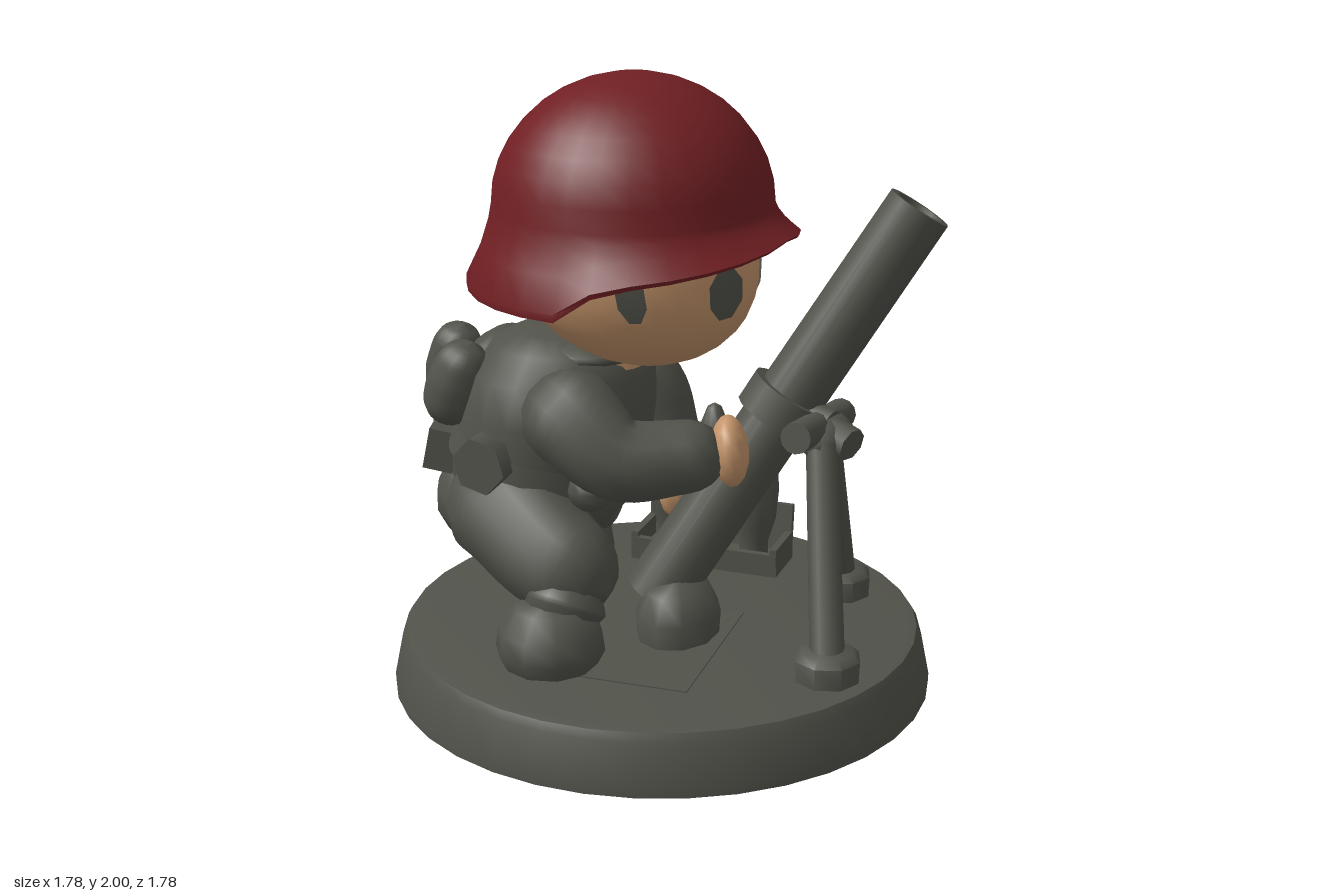
import * as THREE from 'three';
import { toCreasedNormals } from 'three/addons/utils/BufferGeometryUtils.js';

const V = (p) => new THREE.Vector3(p[0], p[1], p[2]);

export function createModel() {
  const model = new THREE.Group();
  model.name = 'mortarSoldier';

  const mat = (name, color) => {
    const m = new THREE.MeshStandardMaterial({ color, side: THREE.DoubleSide });
    m.name = name;
    return m;
  };
  const olive = mat('oliveGrey', 0x51524a);
  const red = mat('helmetRed', 0x701f23);
  const skin = mat('skin', 0xc4946a);

  const add = (name, geo, material = olive, pos = [0, 0, 0], rot = [0, 0, 0]) => {
    const mesh = new THREE.Mesh(geo, material);
    mesh.name = name;
    mesh.position.set(...pos);
    mesh.rotation.set(...rot);
    model.add(mesh);
    return mesh;
  };
  const lathe = (pts, seg, crease = 0.7) =>
    toCreasedNormals(new THREE.LatheGeometry(pts.map((p) => new THREE.Vector2(p[0], p[1])), seg), crease);
  const reshape = (geo, rule) => {
    const p = geo.attributes.position, v = new THREE.Vector3();
    for (let i = 0; i < p.count; i++) {
      rule(v.fromBufferAttribute(p, i));
      p.setXYZ(i, v.x, v.y, v.z);
    }
    return geo;
  };
  // turns a mesh so that its y axis points from a to b
  const aim = (mesh, a, b) => {
    mesh.quaternion.setFromUnitVectors(new THREE.Vector3(0, 1, 0), V(b).sub(V(a)).normalize());
    return mesh;
  };
  const rod = (name, a, b, r0, r1 = r0, seg = 12) => {
    const mid = V(a).add(V(b)).multiplyScalar(0.5);
    const geo = new THREE.CylinderGeometry(r1, r0, V(a).distanceTo(V(b)), seg);
    return aim(add(name, geo, olive, mid.toArray()), a, b);
  };
  const ball = (name, pos, size, material = olive, seg = 16, rot) =>
    add(name, new THREE.SphereGeometry(1, seg, Math.max(8, seg * 0.6 | 0)), material, pos, rot).scale.set(...size);
  // round-ended limb through points [x, y, z, radius]
  const limb = (name, pts, material = olive) => {
    const curve = new THREE.CatmullRomCurve3(pts.map(V));
    const n = 22, radial = 12, len = curve.getLength();
    const geo = new THREE.TubeGeometry(curve, n, 1, radial, false);
    const p = geo.attributes.position, v = new THREE.Vector3();
    for (let i = 0; i <= n; i++) {
      const u = i / n, c = curve.getPointAt(u);
      const t = curve.getUtoTmapping(u) * (pts.length - 1), k = Math.min(pts.length - 2, Math.floor(t));
      let r = THREE.MathUtils.lerp(pts[k][3], pts[k + 1][3], t - k);
      const s = Math.min(1, Math.min(u, 1 - u) * len / r);
      r *= Math.sqrt(Math.max(0.0001, 1 - (1 - s) ** 2));
      for (let j = 0; j <= radial; j++) {
        const id = i * (radial + 1) + j;
        v.fromBufferAttribute(p, id).sub(c).multiplyScalar(r).add(c);
        p.setXYZ(id, v.x, v.y, v.z);
      }
    }
    return add(name, toCreasedNormals(geo, 1.2), material);
  };

  // round base and the sheet lying on it
  add('base', lathe([[0, 0], [0.888, 0], [0.888, 0.02], [0.858, 0.165], [0.843, 0.192], [0.815, 0.198], [0, 0.198]], 36, 0.5));
  add('groundPlate', new THREE.BoxGeometry(0.6, 0.006, 0.62), olive, [-0.015, 0.199, 0.23], [0, 0.12, 0]);

  // helmet: dome with a flared rim that rises over the face
  const rimY = (x, z) => {
    const a = Math.abs(Math.atan2(z, x)) * 180 / Math.PI;
    if (a > 90) return 1.335;
    if (a > 74) return 1.335 + 0.1 * (90 - a) / 16;
    return 1.435 + 0.08 * (74 - a) / 74;
  };
  const dome = [[0.4, 1.62], [0.41, 1.52], [0.485, 1.345], [0.522, 1.335], [0.527, 1.36], [0.48, 1.46], [0.455, 1.54]];
  for (let i = 0; i <= 9; i++) {
    const a = i / 9 * Math.PI / 2;
    dome.push([Math.cos(a) * 0.446, 1.59 + Math.sin(a) * 0.41]);
  }
  const helmetGeo = new THREE.LatheGeometry(dome.map((p) => new THREE.Vector2(...p)), 28);
  reshape(helmetGeo, (v) => {
    if (v.y < 1.59) v.y = 1.59 - (1.59 - v.y) / 0.255 * (1.59 - rimY(v.x, v.z));
    v.z *= 1.025 + 0.02 * Math.max(0, 1.59 - v.y) / 0.255;
  });
  add('helmet', toCreasedNormals(helmetGeo, 0.8), red, [-0.1, 0, 0]);

  // head, chin pushed forward
  const headAt = (a, y, k = 1) => {
    const h = Math.sqrt(Math.max(0, 1 - Math.abs((y - 1.46) / 0.38) ** 2.3)) * k;
    return new THREE.Vector3(-0.105 + Math.cos(a) * 0.395 * h + (1.46 - y) * 0.18, y, Math.sin(a) * 0.405 * h);
  };
  const headGeo = reshape(new THREE.SphereGeometry(1, 32, 20), (v) =>
    v.copy(headAt(Math.atan2(v.z, v.x), 1.46 + v.y * 0.38)));
  add('head', toCreasedNormals(headGeo, 1), skin);
  add('neck', new THREE.CylinderGeometry(0.14, 0.16, 0.2, 16), skin, [-0.22, 1.16, 0]);

  // eyes and temple patches laid on the face, which looks slightly aside
  for (const [name, a, w, y] of [['rightEye', 0.33, 0.2, 1.365], ['leftEye', -0.65, 0.2, 1.365],
    ['rightTemplePatch', 1.15, 0.12, 1.385], ['leftTemplePatch', -1.48, 0.14, 1.385]]) {
    const geo = reshape(new THREE.CircleGeometry(1, 8, Math.PI / 8), (v) =>
      v.copy(headAt(a + v.x * w, y + v.y * 0.088, 1.02)));
    geo.computeVertexNormals();
    add(name, geo, olive);
  }

  // torso leaning forward
  const torsoGeo = reshape(new THREE.LatheGeometry([[0, 0.45], [0.26, 0.47], [0.36, 0.6], [0.37, 0.75], [0.365, 0.9],
    [0.34, 1.03], [0.27, 1.12], [0.18, 1.16], [0, 1.165]].map((p) => new THREE.Vector2(...p)), 20), (v) => {
    v.x = v.x * 0.86 - 0.39 + (v.y - 0.8) * 0.16;
  });
  add('torso', toCreasedNormals(torsoGeo, 1));
  ball('collar', [-0.27, 1.11, 0], [0.22, 0.06, 0.24]);
  ball('hips', [-0.54, 0.56, 0], [0.26, 0.2, 0.32]);

  // arms and hands
  limb('rightArm', [[-0.3, 1.0, 0.24, 0.15], [-0.16, 0.95, 0.31, 0.16], [0.0, 0.85, 0.32, 0.135], [0.16, 0.85, 0.23, 0.12], [0.29, 0.87, 0.15, 0.11]]);
  limb('leftArm', [[-0.3, 1.0, -0.2, 0.15], [-0.18, 0.88, -0.26, 0.14], [-0.12, 0.74, -0.26, 0.125], [-0.03, 0.63, -0.19, 0.11]]);
  ball('rightHand', [0.3, 0.865, 0.14], [0.06, 0.115, 0.1], skin, 14, [0, 0.4, 0.1]);
  ball('leftHand', [-0.01, 0.6, -0.17], [0.07, 0.12, 0.1], skin, 14, [0, 0, -0.1]);

  // legs: right knee forward, left leg folded under
  limb('rightThigh', [[-0.62, 0.6, 0.14, 0.2], [-0.42, 0.58, 0.25, 0.2], [-0.22, 0.49, 0.34, 0.18], [-0.01, 0.41, 0.38, 0.15]]);
  limb('rightShin', [[-0.12, 0.47, 0.37, 0.13], [-0.14, 0.38, 0.42, 0.14], [-0.15, 0.28, 0.47, 0.12]]);
  limb('leftThigh', [[-0.62, 0.58, -0.1, 0.2], [-0.5, 0.55, -0.24, 0.19], [-0.38, 0.48, -0.32, 0.16]]);
  limb('leftShin', [[-0.42, 0.55, -0.32, 0.15], [-0.47, 0.42, -0.33, 0.15], [-0.52, 0.28, -0.31, 0.12]]);
  const bootProfile = [[0, 0.2], [0.15, 0.2], [0.175, 0.25], [0.165, 0.32], [0.11, 0.39], [0, 0.41]];
  add('rightBoot', lathe(bootProfile, 10, 1), olive, [-0.16, 0, 0.485]);
  add('leftBoot', lathe(bootProfile, 10, 1), olive, [-0.52, 0, -0.3]);

  // belt and kit
  const belt = add('belt', new THREE.CylinderGeometry(0.375, 0.385, 0.09, 24, 1, true), olive, [-0.4, 0.76, 0], [0, 0, -0.22]);
  belt.scale.x = 0.86;
  for (const side of [1, -1]) {
    add('canteen', new THREE.CylinderGeometry(0.095, 0.095, 0.1, 6), olive, [-0.44, 0.79, 0.38 * side], [Math.PI / 2, 0.3, 0]);
    add('frontPouch', new THREE.SphereGeometry(0.075, 8, 6), olive, [-0.13, 0.71, 0.26 * side]);
    add('rearPouch', new THREE.BoxGeometry(0.1, 0.14, 0.13), olive, [-0.72, 0.74, 0.17 * side], [0, 0.35 * side, -0.2]);
  }
  add('rearCentrePouch', new THREE.BoxGeometry(0.11, 0.15, 0.13), olive, [-0.78, 0.72, 0], [0, 0, -0.2]);
  limb('sideRoll', [[-0.68, 0.84, 0.22, 0.085], [-0.64, 0.98, 0.22, 0.095], [-0.58, 1.12, 0.2, 0.085]]);
  limb('centreRoll', [[-0.79, 0.8, 0.02, 0.07], [-0.77, 0.96, 0.02, 0.09], [-0.72, 1.12, 0.02, 0.08]]);
  ball('pack', [-0.6, 0.93, 0], [0.13, 0.2, 0.22], olive, 14, [0, 0, -0.25]);

  // mortar tube, hollow at the mouth
  const foot = [0.01, 0.3, 0.07], mouth = [0.74, 1.59, -0.31];
  const length = V(foot).distanceTo(V(mouth));
  aim(add('mortarTube', lathe([[0, 0], [0.11, 0], [0.105, length], [0.08, length], [0.08, length - 0.3], [0, length - 0.3]], 18), olive, foot), foot, mouth);
  add('mortarFoot', lathe([[0, 0.2], [0.13, 0.2], [0.135, 0.28], [0.1, 0.36], [0, 0.39]], 10, 1), olive, [0.11, 0, 0.11]).scale.z = 1.25;
  rod('tubeCollar', [0.345, 0.9, -0.11], [0.395, 0.99, -0.135], 0.135, 0.135, 16);

  // bipod
  rod('crossbar', [0.51, 0.93, 0.12], [0.5, 0.88, -0.31], 0.05);
  rod('collarArm', [0.38, 0.94, -0.12], [0.54, 0.9, -0.1], 0.06);
  ball('bipodJoint', [0.53, 0.87, -0.1], [0.08, 0.075, 0.13], olive, 10);
  rod('jointKnob', [0.52, 0.9, -0.1], [0.63, 0.87, -0.06], 0.05, 0.055, 8);
  const feet = [[[0.5, 0.87, -0.16], [0.47, 0.26, -0.42]], [[0.54, 0.87, -0.03], [0.67, 0.26, 0.22]]];
  const footProfile = [[0, 0.2], [0.105, 0.2], [0.108, 0.27], [0.085, 0.292], [0, 0.295]];
  for (const [top, end] of feet) {
    rod('bipodLeg', top, end, 0.05, 0.055);
    add('bipodFoot', lathe(footProfile, 8, 0.9), olive, [end[0], 0, end[2]]);
  }

  // ammunition tray with three rounds
  const tray = new THREE.Group();
  tray.name = 'ammunitionTray';
  tray.position.set(-0.045, 0.2, -0.51);
  tray.rotation.y = 0.09;
  model.add(tray);
  const inTray = (name, geo, x, y, z, rx = 0) => {
    const mesh = add(name, geo, olive, [x, y, z], [rx, 0, 0]);
    tray.add(mesh);
  };
  inTray('trayFloor', new THREE.BoxGeometry(0.53, 0.03, 0.2), 0, 0.015, 0);
  inTray('trayOuterWall', new THREE.BoxGeometry(0.53, 0.19, 0.025), 0, 0.1, -0.1, -0.12);
  inTray('trayInnerWall', new THREE.BoxGeometry(0.53, 0.08, 0.025), 0, 0.04, 0.09);
  for (const x of [-0.255, 0.255]) inTray('trayEnd', new THREE.BoxGeometry(0.025, 0.1, 0.2), x, 0.05, 0);
  const round = lathe([[0, 0], [0.05, 0], [0.05, 0.08], [0.075, 0.16], [0.085, 0.27], [0.077, 0.39], [0.05, 0.49], [0.025, 0.555], [0, 0.57]], 10, 1);
  for (const x of [-0.145, 0.005, 0.155]) inTray('mortarRound', round, x, 0.01, 0);

  return model;
}
